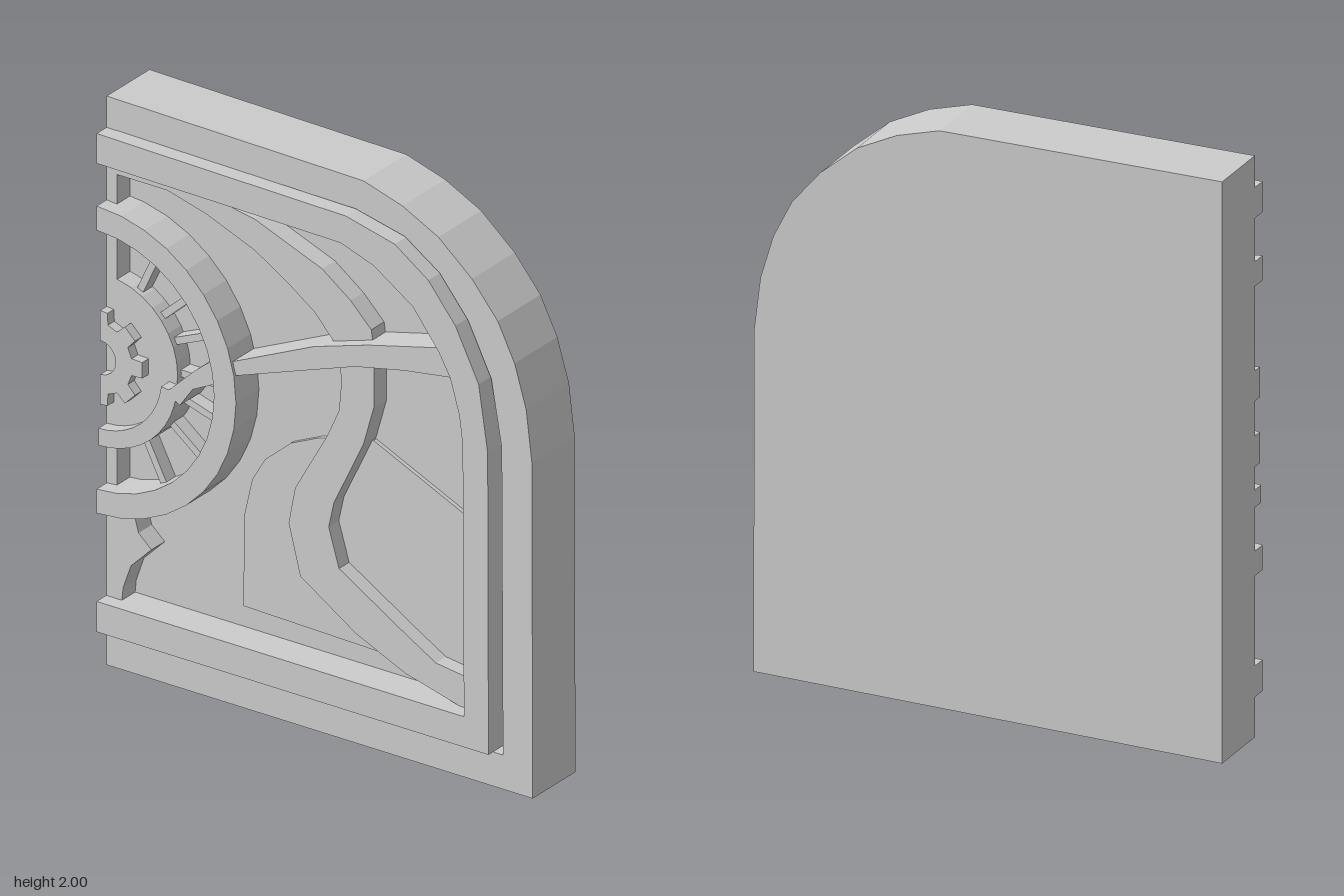
import * as THREE from 'three';

const LEFT = -0.825, CY = 1.095; // straight meeting edge and height of the wheel centre
const FLOOR = 0.02, BACK = -0.143, FACE = 0.09, FRONT = 0.145;

const pts = (list) => list.map(([x, y]) => new THREE.Vector2(x, y));

// Half annulus (or half disc when r0 = 0) opening on the meeting edge
function halfRing(r0, r1, a0 = -Math.PI / 2, a1 = Math.PI / 2, n = 18) {
  const out = [];
  const add = (r, i) => {
    const a = a0 + (a1 - a0) * i / n;
    out.push([LEFT + r * Math.cos(a), CY + r * Math.sin(a)]);
  };
  for (let i = 0; i <= n; i++) add(r1, i);
  if (r0 > 0) for (let i = n; i >= 0; i--) add(r0, i);
  return out;
}

export function createModel() {
  const group = new THREE.Group();
  const material = new THREE.MeshStandardMaterial({ color: 0xcccccc, flatShading: true });

  // Extrude a flat outline between two depths
  function plate(name, outline, z0, z1, holes = []) {
    const shape = new THREE.Shape(pts(outline));
    for (const h of holes) shape.holes.push(new THREE.Path(pts(h)));
    const geo = new THREE.ExtrudeGeometry(shape, { depth: z1 - z0, bevelEnabled: false });
    geo.translate(0, 0, z0);
    const mesh = new THREE.Mesh(geo, material);
    mesh.name = name;
    group.add(mesh);
  }

  // Door slab: solid back plus a surround around the recessed field
  const door = [[LEFT, 0], [0.825, 0], [0.822, 1.18], [0.80, 1.36], [0.755, 1.51], [0.69, 1.64], [0.59, 1.76],
    [0.46, 1.87], [0.32, 1.94], [0.17, 1.985], [LEFT, 2]];
  const opening = [[-0.785, 0.125], [0.71, 0.12], [0.705, 1.2], [0.665, 1.43], [0.575, 1.61], [0.465, 1.745],
    [0.33, 1.835], [0.14, 1.878], [-0.785, 1.89]];
  plate('doorBack', door, BACK, FLOOR);
  plate('doorSurround', door, FLOOR, FACE, [opening]);

  // Raised C-shaped moulding, open at the meeting edge
  plate('frameMoulding', [
    [LEFT, 0.138], [0.693, 0.138], [0.69, 1.2], [0.655, 1.43], [0.565, 1.61], [0.46, 1.74], [0.33, 1.83],
    [0.14, 1.875], [LEFT, 1.89],
    [LEFT, 1.785], [0.12, 1.775], [0.25, 1.73], [0.4, 1.63], [0.5, 1.5], [0.545, 1.42], [0.58, 1.3],
    [0.593, 1.2], [0.598, 0.245], [LEFT, 0.245],
  ], FLOOR, FRONT);

  // Shallow raised field panel behind the scroll
  plate('fieldPanel', [
    [-0.335, 0.325], [0.35, 0.31], [0.525, 0.36], [0.525, 0.89], [0.17, 1.05], [0.04, 1.02], [-0.04, 1.0],
    [-0.15, 0.95], [-0.25, 0.865], [-0.30, 0.78], [-0.33, 0.65],
  ], FLOOR, FLOOR + 0.015);

  // Sweeping scroll: arch above the arm, S-shaped stem below it
  plate('scrollArch', [
    [-0.785, 1.735], [-0.59, 1.735], [-0.44, 1.695], [-0.25, 1.62], [-0.12, 1.54], [-0.02, 1.47], [0.07, 1.37],
    [0.21, 1.40], [0.20, 1.47], [0.12, 1.55], [0.01, 1.63], [-0.25, 1.73], [-0.53, 1.78], [-0.785, 1.785],
  ], FLOOR, FACE);
  plate('scrollStem', [
    [0.07, 1.36], [0.085, 1.26], [0.075, 1.15], [0.03, 1.05], [-0.095, 0.83], [-0.12, 0.70], [-0.075, 0.525],
    [0.14, 0.385], [0.33, 0.30], [0.54, 0.245], [0.6, 0.245], [0.6, 0.35], [0.45, 0.37], [0.33, 0.44],
    [0.075, 0.595], [0.035, 0.73], [0.055, 0.82], [0.17, 1.06], [0.21, 1.20], [0.21, 1.38],
  ], FLOOR, FACE);

  // Arm from the frame to the ring and on under the hub
  plate('arm', [
    [-0.31, 1.18], [0.0, 1.29], [0.17, 1.35], [0.36, 1.39], [0.56, 1.42],
    [0.5, 1.51], [0.22, 1.44], [0.01, 1.375], [-0.31, 1.23],
  ], FLOOR, 0.135);
  plate('armInsideRing', [
    [-0.565, 1.05], [-0.51, 1.02], [-0.46, 1.09], [-0.36, 1.14], [-0.31, 1.17], [-0.31, 1.235],
    [-0.37, 1.225], [-0.45, 1.16],
  ], FLOOR, 0.135);
  plate('armHook', halfRing(0.245, 0.305, -Math.PI / 2, -0.12, 10), FLOOR, 0.135);

  // Wheel: outer ring, hub disc and radial ribs
  plate('wheelRing', halfRing(0.455, 0.54), FLOOR, FRONT);
  plate('hubDisc', halfRing(0, 0.275), FLOOR, FACE);
  for (const deg of [65, 42, 23, 0, -17, -38, -63]) {
    const rib = new THREE.Mesh(new THREE.BoxGeometry(0.22, 0.025, 0.05), material);
    const a = THREE.MathUtils.degToRad(deg);
    rib.position.set(LEFT + 0.365 * Math.cos(a), CY + 0.365 * Math.sin(a), FLOOR + 0.025);
    rib.rotation.z = a;
    rib.name = 'wheelRib';
    group.add(rib);
  }

  // Half gear with a round bore
  const gear = [];
  const polar = (r, a) => gear.push([LEFT + Math.max(0, r * Math.cos(a)), CY + r * Math.sin(a)]);
  for (let i = -2; i <= 2; i++) {
    const a = i * Math.PI / 4;
    const steps = [[0.125, -0.24], [0.165, -0.17], [0.165, 0.17], [0.125, 0.24]];
    for (const [r, d] of steps) {
      if (Math.abs(a + d) <= Math.PI / 2) polar(r, a + d);
      else if (r > 0.15) polar(r, Math.sign(a) * Math.PI / 2);
    }
  }
  for (let i = 8; i >= 0; i--) polar(0.06, -Math.PI / 2 + Math.PI * i / 8);
  plate('hubGear', gear, FACE, 0.125);

  // Pointed ornament at the foot of the meeting edge
  plate('footOrnament', [
    [LEFT, 0.24], [-0.765, 0.24], [-0.76, 0.29], [-0.73, 0.375], [-0.65, 0.455], [-0.70, 0.50], [-0.72, 0.57],
    [LEFT, 0.57],
  ], FLOOR, FACE + 0.002);

  return group;
}
